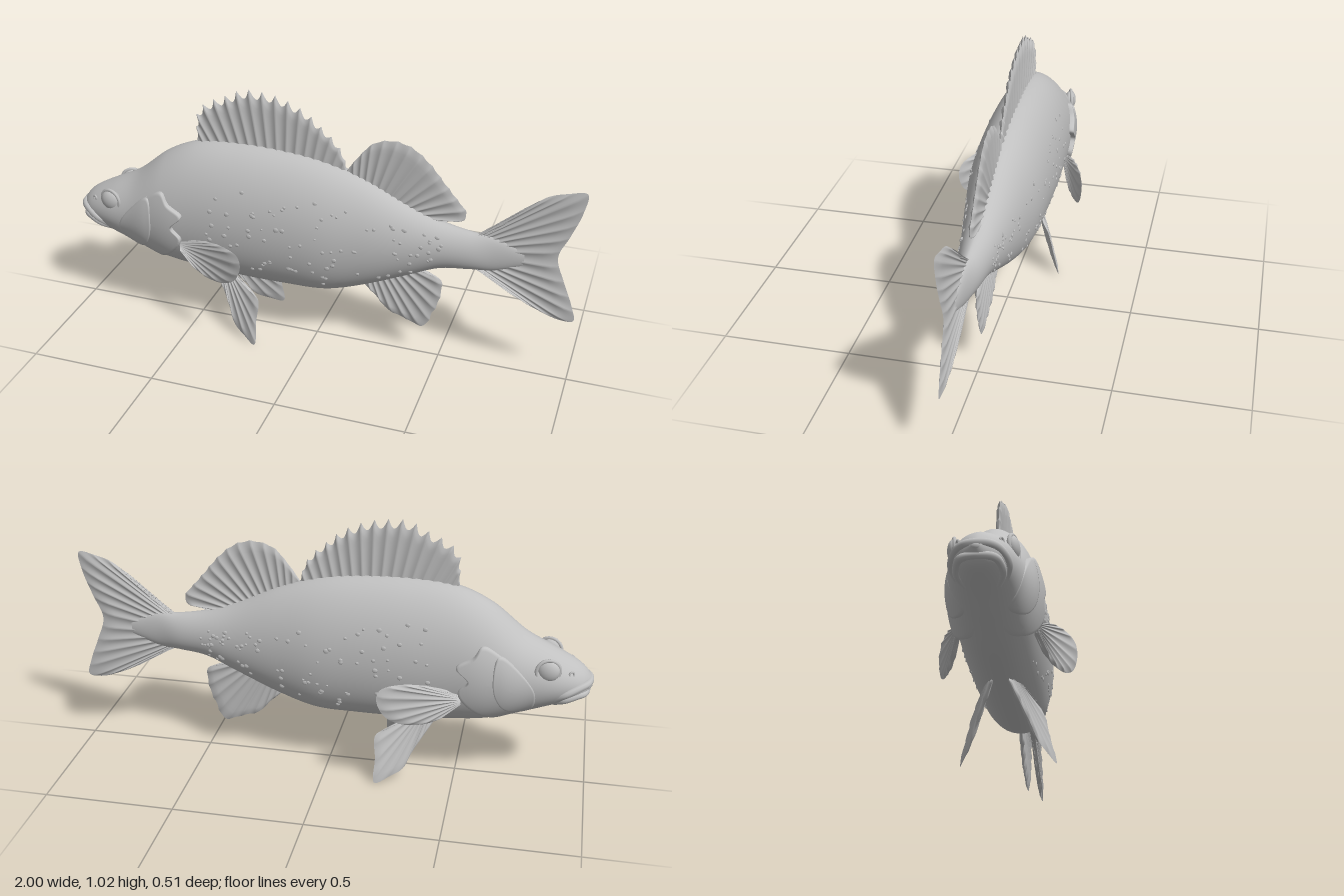
import * as THREE from 'three';
import { mergeGeometries } from 'three/addons/utils/BufferGeometryUtils.js';

const skin = new THREE.MeshStandardMaterial({ color: 0xc0c0c0, side: THREE.DoubleSide });
skin.name = 'grey skin';

// Body stations: x, top y, bottom y, half width
const STATIONS = [
  [-0.995, 0.452, 0.425, 0.015], [-0.97, 0.49, 0.388, 0.055], [-0.93, 0.522, 0.368, 0.084],
  [-0.85, 0.565, 0.343, 0.112], [-0.74, 0.622, 0.302, 0.13], [-0.61, 0.725, 0.26, 0.146],
  [-0.48, 0.782, 0.243, 0.152], [-0.3, 0.8, 0.232, 0.156], [-0.1, 0.793, 0.23, 0.152],
  [0.05, 0.77, 0.236, 0.142], [0.2, 0.722, 0.282, 0.117], [0.38, 0.637, 0.36, 0.083],
  [0.49, 0.598, 0.408, 0.064], [0.6, 0.577, 0.422, 0.046], [0.69, 0.57, 0.43, 0.024], [0.8, 0.53, 0.47, 0.008],
];

// Smooth interpolation of one station column
function station(x, k) {
  const S = STATIONS, n = S.length;
  let i = 0;
  while (i < n - 2 && x > S[i + 1][0]) i++;
  const slope = (j) => {
    const a = S[Math.max(j - 1, 0)], b = S[Math.min(j + 1, n - 1)];
    return (b[k] - a[k]) / (b[0] - a[0]);
  };
  const d = S[i + 1][0] - S[i][0], t = (x - S[i][0]) / d, t2 = t * t, t3 = t2 * t;
  return S[i][k] * (2 * t3 - 3 * t2 + 1) + slope(i) * d * (t3 - 2 * t2 + t)
    + S[i + 1][k] * (3 * t2 - 2 * t3) + slope(i + 1) * d * (t3 - t2);
}

function section(x) {
  const top = station(x, 1), bottom = station(x, 2), mid = bottom + 0.47 * (top - bottom);
  return { mid, up: top - mid, down: mid - bottom, w: station(x, 3) };
}

// Half width of the body at a given x and y
function bodyZ(x, y) {
  const s = section(x), t = (y - s.mid) / (y > s.mid ? s.up : s.down);
  return s.w * Math.pow(Math.max(0, 1 - t * t), y > s.mid ? 0.57 : 0.45);
}

// Geometry from a grid of points
function grid(nu, nv, point, wrap = false) {
  const pos = [], index = [], row = wrap ? nv : nv + 1;
  for (let i = 0; i <= nu; i++) for (let j = 0; j < row; j++) pos.push(...point(i / nu, j / nv));
  for (let i = 0; i < nu; i++) for (let j = 0; j < nv; j++) {
    const k = (j + 1) % row, a = i * row + j, b = i * row + k;
    index.push(a, b, a + row, b, b + row, a + row);
  }
  const g = new THREE.BufferGeometry();
  g.setAttribute('position', new THREE.Float32BufferAttribute(pos, 3));
  g.setIndex(index);
  g.computeVertexNormals();
  return g;
}

function add(parent, name, geometry) {
  const m = new THREE.Mesh(geometry, skin);
  m.name = name;
  parent.add(m);
  return m;
}

function curve(points) {
  const c = new THREE.CatmullRomCurve3(points.map(([x, y]) => new THREE.Vector3(x, y, 0)), false, 'centripetal');
  c.arcLengthDivisions = 600;
  return c;
}

// Ribbed fin fanned from a base curve to a rim curve; notch cuts scallops between rays
function fin(base, rim, { rays = 12, thick = 0.009, notch = 0, plane = () => 0 }) {
  const b = curve(base), r = curve(rim), nu = rays * 10;
  const sheet = (side) => grid(nu, 12, (u, v) => {
    const P = b.getPointAt(u), Q = r.getPointAt(u);
    const gap = Math.abs(Math.sin(Math.PI * rays * u));
    P.lerp(Q, v * (1 - notch * gap));
    const edge = Math.sqrt(Math.min(1, u * 25, (1 - u) * 25, (1 - v) * 8));
    const t = thick * (0.45 + 0.55 * (1 - gap)) * edge;
    return [P.x, P.y, plane(P.x, P.y) + side * t];
  });
  return mergeGeometries([sheet(1), sheet(-1)]);
}

// Raised plate that follows the side of the body
function plate(outline, lift) {
  const c = new THREE.CatmullRomCurve3(outline.map(([x, y]) => new THREE.Vector3(x, y, 0)), true, 'centripetal');
  const mid = new THREE.Vector3();
  outline.forEach(([x, y]) => mid.add(new THREE.Vector3(x, y, 0)));
  mid.divideScalar(outline.length);
  return grid(13, 72, (u, v) => {
    const p = c.getPoint(v % 1), r = Math.min(1, u * 13 / 12);
    const x = mid.x + (p.x - mid.x) * r, y = mid.y + (p.y - mid.y) * r;
    return [x, y, bodyZ(x, y) + (u === 1 ? -0.01 : lift(x))];
  }, true);
}

function lip(points, tip, radius) {
  const side = points.map(([x, y], i) => new THREE.Vector3(x, y, bodyZ(x, y) - (i === 0 ? 0.02 : 0.004)));
  const other = side.map((p) => new THREE.Vector3(p.x, p.y, -p.z)).reverse();
  const path = new THREE.CatmullRomCurve3([...side, new THREE.Vector3(tip[0], tip[1], 0), ...other]);
  return new THREE.TubeGeometry(path, 60, radius, 10);
}

function ellipsoid(x, y, z, rx, ry, rz, seg = 24) {
  return new THREE.SphereGeometry(1, seg, seg / 2).scale(rx, ry, rz).translate(x, y, z);
}

export function createModel() {
  const fish = new THREE.Group();
  fish.name = 'fish';

  // Body
  add(fish, 'body', grid(150, 64, (u, v) => {
    const x = -0.995 + 1.795 * u, s = section(x), a = v * Math.PI * 2;
    const c = Math.cos(a), n = Math.sin(a);
    const z = s.w * Math.sign(n) * Math.pow(Math.abs(n), c > 0 ? 1.14 : 0.9);
    return [x, s.mid + c * (c > 0 ? s.up : s.down), z];
  }, true));
  add(fish, 'snoutTip', ellipsoid(-0.985, 0.438, 0, 0.012, 0.015, 0.02));

  // Lips
  add(fish, 'upperLip', lip([[-0.85, 0.385], [-0.9, 0.42], [-0.95, 0.443], [-0.975, 0.449]], [-0.984, 0.45], 0.015));
  add(fish, 'lowerLip', lip([[-0.86, 0.368], [-0.9, 0.388], [-0.94, 0.405], [-0.965, 0.41]], [-0.975, 0.41], 0.014));

  // Fins along the middle
  add(fish, 'spinyDorsalFin', fin(
    [[-0.48, 0.75], [-0.2, 0.77], [0.0, 0.75], [0.12, 0.71]],
    [[-0.485, 0.79], [-0.48, 0.91], [-0.43, 0.955], [-0.367, 0.985], [-0.29, 1.022], [-0.22, 1.022], [-0.15, 1.012],
      [-0.09, 0.99], [-0.035, 0.96], [0.013, 0.917], [0.06, 0.875], [0.1, 0.82], [0.12, 0.74]],
    { rays: 17, notch: 0.15, thick: 0.011 }));
  add(fish, 'softDorsalFin', fin(
    [[0.12, 0.71], [0.3, 0.65], [0.46, 0.585]],
    [[0.115, 0.75], [0.16, 0.815], [0.22, 0.88], [0.3, 0.9], [0.37, 0.88], [0.435, 0.826], [0.49, 0.76],
      [0.54, 0.7], [0.575, 0.655], [0.57, 0.62], [0.46, 0.605]],
    { rays: 15, notch: 0.02, thick: 0.011 }));
  add(fish, 'analFin', fin(
    [[0.18, 0.31], [0.28, 0.36], [0.39, 0.4]],
    [[0.18, 0.28], [0.24, 0.225], [0.29, 0.17], [0.355, 0.145], [0.436, 0.122], [0.47, 0.19], [0.495, 0.26],
      [0.497, 0.345], [0.47, 0.36], [0.4, 0.375]],
    { rays: 11, notch: 0.02, thick: 0.01 }));
  add(fish, 'tailFin', fin(
    [[0.58, 0.55], [0.58, 0.44]],
    [[0.63, 0.578], [0.7, 0.612], [0.757, 0.67], [0.86, 0.765], [0.93, 0.79], [0.998, 0.8], [0.99, 0.72],
      [0.955, 0.62], [0.92, 0.527], [0.95, 0.43], [0.985, 0.34], [1, 0.268], [0.95, 0.263], [0.89, 0.28],
      [0.785, 0.33], [0.7, 0.395], [0.63, 0.424]],
    { rays: 22, thick: 0.01 }));

  // Parts on each side
  for (const side of [1, -1]) {
    const half = new THREE.Group();
    half.name = side > 0 ? 'leftSide' : 'rightSide';
    half.scale.z = side;
    fish.add(half);

    add(half, 'eye', ellipsoid(-0.83, 0.512, bodyZ(-0.83, 0.512) - 0.004, 0.042, 0.042, 0.024));
    add(half, 'eyeSocket', new THREE.TorusGeometry(0.044, 0.007, 8, 32).rotateY(-0.25)
      .translate(-0.83, 0.512, bodyZ(-0.83, 0.512)));
    add(half, 'nostril', new THREE.TorusGeometry(0.009, 0.004, 6, 16).rotateY(-0.5)
      .translate(-0.915, 0.495, bodyZ(-0.915, 0.495)));

    const rise = (from, run, h) => (x) => h * THREE.MathUtils.smoothstep(x, from, from + run);
    add(half, 'gillCover', plate(
      [[-0.59, 0.605], [-0.56, 0.565], [-0.5, 0.525], [-0.545, 0.47], [-0.51, 0.42], [-0.57, 0.335],
        [-0.66, 0.29], [-0.75, 0.33], [-0.76, 0.42], [-0.71, 0.52], [-0.65, 0.575]], rise(-0.76, 0.22, 0.018)));
    add(half, 'cheek', plate(
      [[-0.65, 0.57], [-0.635, 0.48], [-0.65, 0.4], [-0.69, 0.345], [-0.77, 0.335], [-0.79, 0.42], [-0.73, 0.51]],
      rise(-0.8, 0.14, 0.016)));

    add(half, 'pectoralFin', fin(
      [[-0.52, 0.405], [-0.52, 0.36]],
      [[-0.49, 0.41], [-0.4, 0.45], [-0.3, 0.465], [-0.235, 0.45], [-0.222, 0.41], [-0.255, 0.335],
        [-0.33, 0.295], [-0.43, 0.3], [-0.49, 0.345]],
      { rays: 11, thick: 0.01, plane: (x) => 0.142 + (x + 0.5) * 0.4 }));
    add(half, 'pelvicFin', fin(
      [[-0.41, 0.26], [-0.33, 0.255]],
      [[-0.42, 0.235], [-0.34, 0.11], [-0.31, 0.05], [-0.26, 0.022], [-0.208, 0.003], [-0.205, 0.1],
        [-0.202, 0.19], [-0.24, 0.212], [-0.3, 0.232]],
      { rays: 9, thick: 0.009, plane: (x, y) => 0.256 + 0.405 * x - 0.238 * y }));

    // Scattered raised scales
    let seed = side > 0 ? 11 : 47;
    const rand = () => (seed = (seed * 16807) % 2147483647) / 2147483647;
    const bumps = [];
    for (let i = 0; i < 90; i++) {
      const x = -0.4 + 0.9 * rand(), s = section(x), y = s.mid + (rand() * 1.4 - 0.75) * s.down;
      const r = 0.005 + 0.006 * rand();
      bumps.push(ellipsoid(x, y, bodyZ(x, y), r, r * 0.9, 0.003, 10));
    }
    add(half, 'scales', mergeGeometries(bumps));
  }
  return fish;
}
